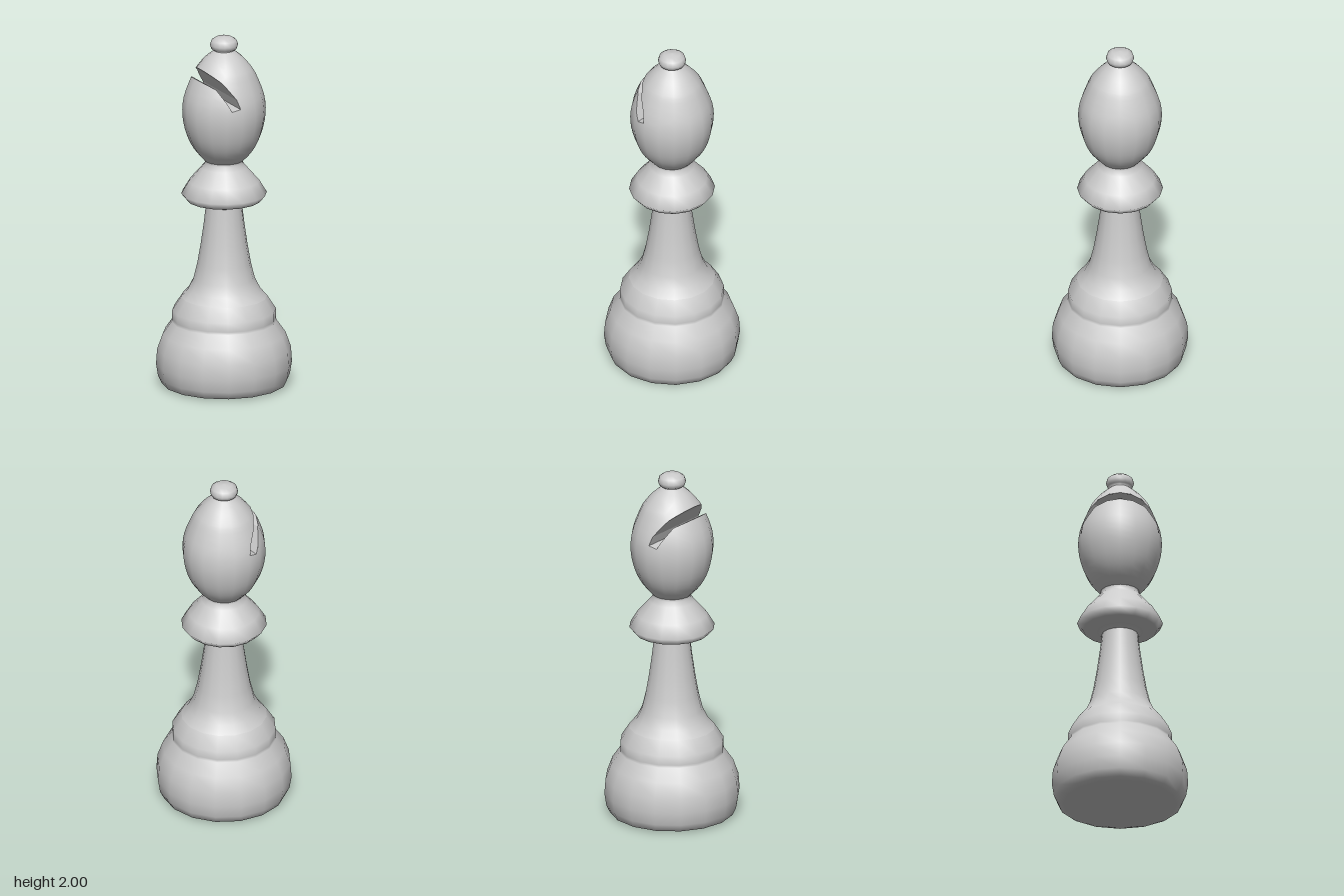
import * as THREE from 'three';

const SIDES = 16;
const vectors = (list) => list.map(([x, y]) => new THREE.Vector2(x, y));

// Egg-shaped head profile, bottom to top
const headProfile = new THREE.SplineCurve(vectors([
  [0.108, 1.29], [0.165, 1.355], [0.207, 1.44], [0.23, 1.55], [0.222, 1.66],
  [0.178, 1.778], [0.147, 1.83], [0.104, 1.88], [0.055, 1.92],
])).getPoints(24);

// Bent slot seen from the front, as two convex counter-clockwise pieces
const [D, E, G, F, C, B, A] = vectors([
  [-0.228, 1.807], [-0.122, 1.745], [-0.058, 1.626], [-0.01, 1.638],
  [-0.026, 1.69], [-0.09, 1.78], [-0.206, 1.88],
]);
const slotPieces = [[D, E, B, A], [E, G, F, C, B]];
const slotOutline = [D, E, G, F, C, B, A];

// Splits a polygon by the line a-b into its left and right parts
function split(poly, a, b) {
  const side = (p) => (b.x - a.x) * (p[1] - a.y) - (b.y - a.y) * (p[0] - a.x);
  const left = [], right = [];
  poly.forEach((p, i) => {
    const q = poly[(i + 1) % poly.length];
    const sp = side(p), sq = side(q);
    (sp >= 0 ? left : right).push(p);
    if ((sp >= 0) !== (sq >= 0)) {
      const cut = p.map((v, k) => v + (q[k] - v) * sp / (sp - sq));
      left.push(cut);
      right.push(cut);
    }
  });
  return [left, right];
}

// Removes the part of a polygon that lies inside a convex piece
function subtract(poly, piece) {
  const kept = [];
  let rest = poly;
  piece.forEach((a, i) => {
    if (rest.length < 3) return;
    const [inside, outside] = split(rest, a, piece[(i + 1) % piece.length]);
    if (outside.length > 2) kept.push(outside);
    rest = inside;
  });
  return kept;
}

// Lathed head with the slot cut right through it
function slottedHead() {
  const lathe = new THREE.LatheGeometry(headProfile, SIDES).toNonIndexed();
  const pos = lathe.attributes.position, nor = lathe.attributes.normal;
  let polys = [];
  for (let i = 0; i < pos.count; i += 3) {
    polys.push([i, i + 1, i + 2].map((k) => [
      pos.getX(k), pos.getY(k), pos.getZ(k), nor.getX(k), nor.getY(k), nor.getZ(k)]));
  }
  for (const piece of slotPieces) polys = polys.flatMap((p) => subtract(p, piece));
  const positions = [], normals = [];
  for (const p of polys) {
    for (let i = 1; i < p.length - 1; i++) {
      for (const v of [p[0], p[i], p[i + 1]]) {
        positions.push(...v.slice(0, 3));
        normals.push(...v.slice(3));
      }
    }
  }
  const geo = new THREE.BufferGeometry();
  geo.setAttribute('position', new THREE.Float32BufferAttribute(positions, 3));
  geo.setAttribute('normal', new THREE.Float32BufferAttribute(normals, 3));
  return geo;
}

// Half depth of the many-sided head at a point of its front view
function halfDepth(x, y) {
  const i = headProfile.findIndex((p) => p.y >= y);
  if (i < 1) return 0;
  const lo = headProfile[i - 1], hi = headProfile[i];
  const r = lo.x + (hi.x - lo.x) * (y - lo.y) / (hi.y - lo.y);
  const t = Math.abs(x) / r;
  if (t >= 1) return 0;
  const step = 2 * Math.PI / SIDES;
  const a = Math.floor(Math.asin(t) / step) * step;
  const f = (t - Math.sin(a)) / (Math.sin(a + step) - Math.sin(a));
  return r * (Math.cos(a) + f * (Math.cos(a + step) - Math.cos(a)));
}

// Flat walls lining the slot from front to back
function slotWalls() {
  const positions = [];
  const steps = 12;
  for (let e = 0; e < slotOutline.length - 1; e++) {
    for (let s = 0; s < steps; s++) {
      const p = slotOutline[e].clone().lerp(slotOutline[e + 1], s / steps);
      const q = slotOutline[e].clone().lerp(slotOutline[e + 1], (s + 1) / steps);
      const zp = halfDepth(p.x, p.y), zq = halfDepth(q.x, q.y);
      if (zp === 0 && zq === 0) continue;
      positions.push(
        p.x, p.y, zp, q.x, q.y, zq, q.x, q.y, -zq,
        p.x, p.y, zp, q.x, q.y, -zq, p.x, p.y, -zp);
    }
  }
  const geo = new THREE.BufferGeometry();
  geo.setAttribute('position', new THREE.Float32BufferAttribute(positions, 3));
  geo.computeVertexNormals();
  return geo;
}

export function createModel() {
  const group = new THREE.Group();
  const grey = new THREE.MeshStandardMaterial({ color: 0xcccccc, side: THREE.DoubleSide });
  grey.name = 'light grey';

  const add = (name, geometry) => {
    const mesh = new THREE.Mesh(geometry, grey);
    mesh.name = name;
    group.add(mesh);
  };
  const turned = (list) => new THREE.LatheGeometry(vectors(list), SIDES);

  // Rounded foot with its straight band
  add('base', turned([
    [0, 0], [0.31, 0.003], [0.345, 0.013], [0.365, 0.055], [0.376, 0.125],
    [0.37, 0.21], [0.34, 0.294], [0.29, 0.365], [0.287, 0.38], [0.287, 0.43],
    [0.238, 0.506],
  ]));

  // Tapering stem
  add('stem', turned([
    [0.238, 0.506], [0.2, 0.55], [0.17, 0.61], [0.148, 0.7], [0.129, 0.81],
    [0.112, 0.93], [0.1, 1.035],
  ]));

  // Flared collar below the head
  add('collar', turned([
    [0.1, 1.03], [0.12, 1.048], [0.205, 1.062], [0.237, 1.1], [0.195, 1.17],
    [0.125, 1.25], [0.105, 1.275], [0.108, 1.295],
  ]));

  add('head', slottedHead());
  add('slotWalls', slotWalls());

  // Flattened ball on top
  add('finial', turned([
    [0.07, 1.905], [0.055, 1.92], [0.07, 1.93], [0.078, 1.952], [0.07, 1.978],
    [0.045, 1.995], [0, 2],
  ]));

  return group;
}
